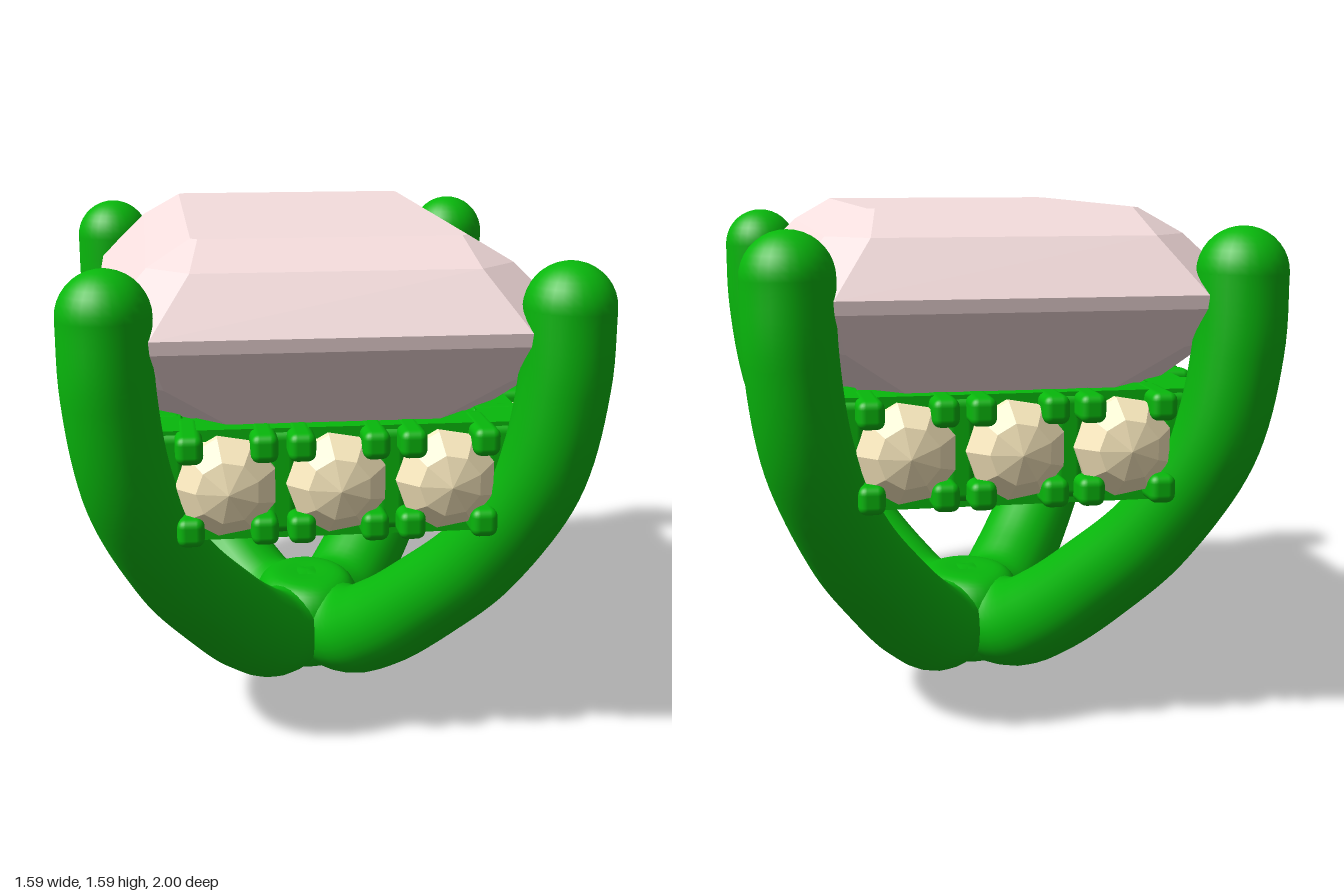
import * as THREE from 'three';
import { RoundedBoxGeometry } from 'three/addons/geometries/RoundedBoxGeometry.js';

const metal = new THREE.MeshStandardMaterial({ color: 0x08b80c });
const pink = new THREE.MeshStandardMaterial({ color: 0xf6dede, flatShading: true });
const cream = new THREE.MeshStandardMaterial({ color: 0xffeec2, flatShading: true });

function mesh(name, geometry, material, x = 0, y = 0, z = 0) {
  const m = new THREE.Mesh(geometry, material);
  m.name = name;
  m.position.set(x, y, z);
  return m;
}

// Step-cut gem: stacked rectangles with cut corners, [y, half x, half z, corner cut]
function gemGeometry(levels) {
  const pos = [], idx = [];
  for (const [y, a, b, c] of levels) {
    const ring = [[a, b - c], [a - c, b], [c - a, b], [-a, b - c], [-a, c - b], [c - a, -b], [a - c, -b], [a, c - b]];
    for (const [x, z] of ring) pos.push(x, y, z);
  }
  for (let l = 0; l < levels.length - 1; l++) {
    for (let i = 0; i < 8; i++) {
      const j = (i + 1) % 8, p = l * 8;
      idx.push(p + i, p + 8 + i, p + j, p + j, p + 8 + i, p + 8 + j);
    }
  }
  const top = (levels.length - 1) * 8;
  for (let i = 1; i < 7; i++) idx.push(top, top + i + 1, top + i);
  const g = new THREE.BufferGeometry();
  g.setAttribute('position', new THREE.Float32BufferAttribute(pos, 3));
  g.setIndex(idx);
  g.computeVertexNormals();
  return g;
}

// Tube that swells by `extra` at its start and eases back to radius r
function swellingTube(curve, segments, r, sides, extra) {
  const g = new THREE.TubeGeometry(curve, segments, r, sides);
  const p = g.attributes.position, n = g.attributes.normal;
  for (let i = 0; i < p.count; i++) {
    const t = Math.floor(i / (sides + 1)) / segments;
    const e = extra * (1 - THREE.MathUtils.smoothstep(t, 0.15, 0.65));
    p.setXYZ(i, p.getX(i) + n.getX(i) * e, p.getY(i) + n.getY(i) * e, p.getZ(i) + n.getZ(i) * e);
  }
  return g;
}

// Row of round accent stones held by claws, facing local +z
function stoneRow(count) {
  const row = new THREE.Group();
  row.name = 'accentStoneRow';
  const stoneGeo = new THREE.SphereGeometry(0.158, 9, 5).rotateX(Math.PI / 2).scale(1, 1, 0.8);
  const clawGeo = new RoundedBoxGeometry(0.08, 0.085, 0.23, 3, 0.025);
  const postGeo = new RoundedBoxGeometry(0.1, 0.32, 0.14, 3, 0.03);
  for (let i = 0; i < count; i++) {
    const x = (i - (count - 1) / 2) * 0.325;
    row.add(mesh('accentStone', stoneGeo, cream, x, 0, 0));
    for (const sx of [-1, 1]) for (const sy of [-1, 1]) {
      row.add(mesh('claw', clawGeo, metal, x + sx * 0.108, sy * 0.124, -0.015));
    }
  }
  // Posts between and beside the stones
  for (let i = 0; i <= count; i++) {
    row.add(mesh('post', postGeo, metal, (i - count / 2) * 0.325, 0, -0.05));
  }
  return row;
}

// Rectangular frame with a rectangular opening, lying flat from y upward
function frame(name, hx, hz, ix, iz, y, height) {
  const rect = (P, a, b) => {
    const p = new P();
    p.moveTo(-a, -b);
    p.lineTo(a, -b);
    p.lineTo(a, b);
    p.lineTo(-a, b);
    p.closePath();
    return p;
  };
  const shape = rect(THREE.Shape, hx, hz);
  shape.holes.push(rect(THREE.Path, ix, iz));
  const g = new THREE.ExtrudeGeometry(shape, { depth: height, bevelEnabled: false });
  g.rotateX(-Math.PI / 2);
  return mesh(name, g, metal, 0, y, 0);
}

export function createModel() {
  const model = new THREE.Group();
  model.name = 'gemSetting';

  // Large centre stone
  model.add(mesh('centreStone', gemGeometry([
    [0.68, 0.001, 0.001, 0.0005],
    [1.05, 0.52, 0.72, 0.23],
    [1.2, 0.62, 0.831, 0.12],
    [1.32, 0.7, 0.92, 0.16],
    [1.36, 0.7, 0.925, 0.16],
    [1.525, 0.54, 0.79, 0.12],
    [1.602, 0.41, 0.645, 0.02],
  ]), pink));

  // Four curved prongs rising from the crossing at the base
  const r = 0.135;
  const half = [[0.13, 0.165, 0.17], [0.225, 0.245, 0.3], [0.345, 0.395, 0.46], [0.48, 0.6, 0.645],
    [0.607, 0.9, 0.81], [0.655, 1.2, 0.86], [0.66, 1.42, 0.862]];
  for (const sx of [-1, 1]) for (const sz of [-1, 1]) {
    const prong = new THREE.Group();
    prong.name = 'prong';
    const pts = [new THREE.Vector3(0, 0.175, 0), ...half.map(([x, y, z]) => new THREE.Vector3(x * sx, y, z * sz))];
    prong.add(mesh('prongShaft', swellingTube(new THREE.CatmullRomCurve3(pts), 48, r, 28, 0.018), metal));
    prong.add(mesh('prongTip', new THREE.SphereGeometry(r, 28, 18), metal, 0.66 * sx, 1.42, 0.862 * sz));
    model.add(prong);
  }
  // Rounded hub blending the crossing
  const hub = [[0, 0.02], [0.12, 0.02], [0.17, 0.06], [0.19, 0.17], [0.175, 0.27], [0.12, 0.322], [0, 0.322]];
  const hubCurve = new THREE.SplineCurve(hub.map(([x, y]) => new THREE.Vector2(x, y)));
  const hubMesh = mesh('baseHub', new THREE.LatheGeometry(hubCurve.getPoints(30), 32), metal);
  hubMesh.scale.z = 1.2;
  model.add(hubMesh);

  // Gallery: inner wall with a lip below and above the accent stones
  model.add(frame('galleryWall', 0.5, 0.71, 0.31, 0.52, 0.74, 0.32));
  model.add(frame('galleryLowerLip', 0.58, 0.79, 0.31, 0.52, 0.735, 0.035));
  model.add(frame('galleryUpperLip', 0.58, 0.79, 0.45, 0.65, 1.035, 0.035));

  // Accent stones on all four sides
  for (const s of [0, 1]) {
    const end = stoneRow(3);
    end.position.set(0, 0.905, s ? -0.78 : 0.78);
    end.rotation.y = s * Math.PI;
    const side = stoneRow(4);
    side.position.set(s ? -0.57 : 0.57, 0.905, 0);
    side.rotation.y = s ? -Math.PI / 2 : Math.PI / 2;
    model.add(end, side);
  }
  return model;
}
